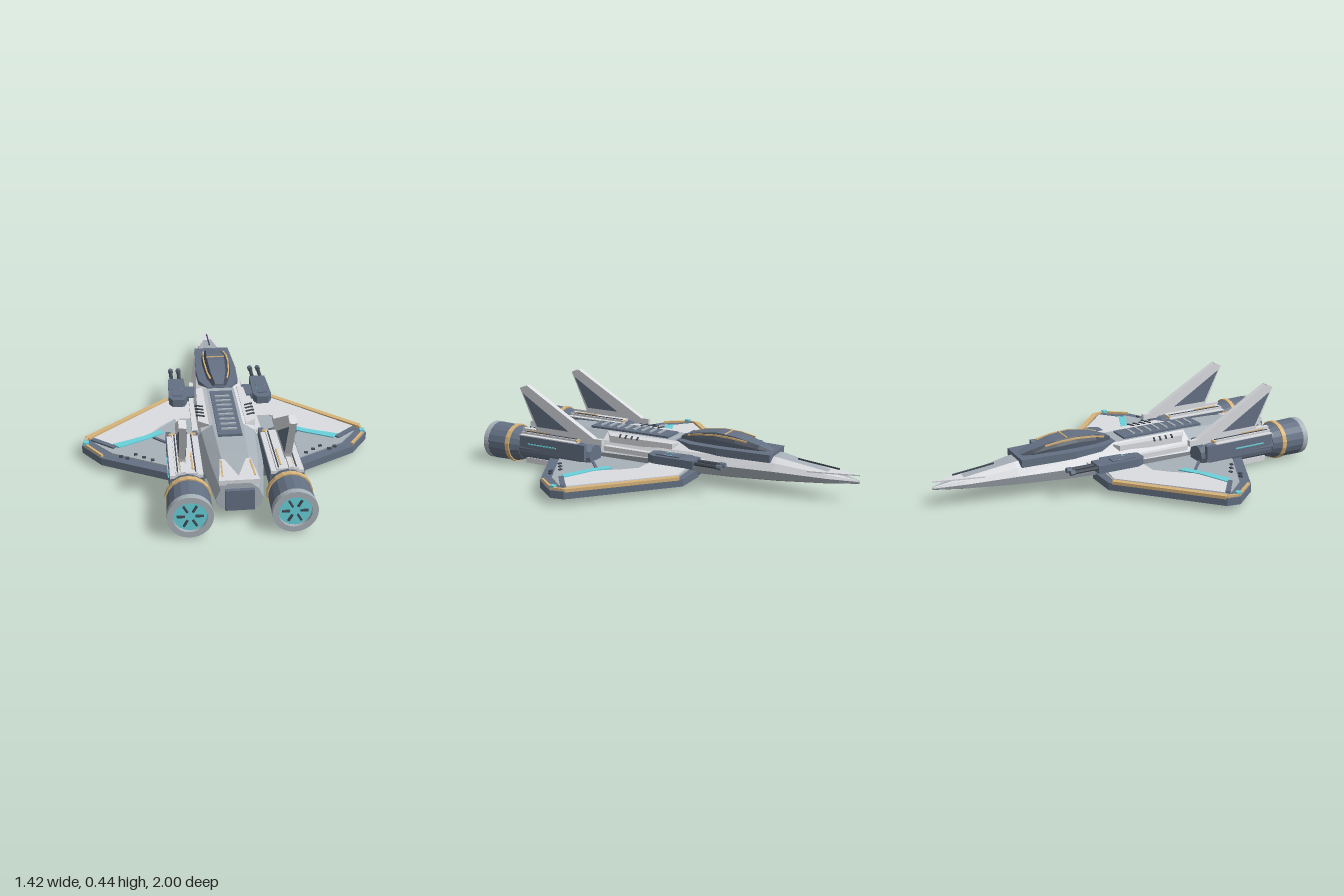
import * as THREE from 'three';

const mat = (name, color) => {
  const m = new THREE.MeshStandardMaterial({ color, flatShading: true });
  m.name = name;
  return m;
};

export function createModel() {
  const light = mat('light grey', 0xdadce0), mid = mat('mid grey', 0xa8b1b9), slate = mat('slate', 0x647184);
  const dark = mat('dark metal', 0x434a55), tan = mat('tan trim', 0xd8b47a), cyan = mat('cyan glow', 0x69d2dd);
  const model = new THREE.Group();
  model.name = 'starfighter';

  const add = (name, geo, material, parent = model) => {
    const m = new THREE.Mesh(geo, material);
    m.name = name;
    parent.add(m);
    return m;
  };
  const box = (name, material, w, h, d, x, y, z, parent) => {
    const m = add(name, new THREE.BoxGeometry(w, h, d), material, parent);
    m.position.set(x, y, z);
    return m;
  };
  const shape = pts => new THREE.Shape(pts.map(p => new THREE.Vector2(p[0], p[1])));
  // Horizontal plate from an x,z outline
  const plate = (name, material, pts, y0, y1, s = 1, parent) => {
    const g = new THREE.ExtrudeGeometry(shape(pts.map(p => [p[0] * s, p[1]])), { depth: y1 - y0, bevelEnabled: false });
    return add(name, g.rotateX(Math.PI / 2).translate(0, y1, 0), material, parent);
  };
  // Upright plate from a z,y outline
  const upright = (name, material, pts, x, t, parent) => {
    const g = new THREE.ExtrudeGeometry(shape(pts), { depth: t, bevelEnabled: false });
    return add(name, g.rotateY(-Math.PI / 2).translate(x + t / 2, 0, 0), material, parent);
  };
  // Cylinder along z, r0 at its nose end and r1 at its rear end
  const tube = (name, material, r0, r1, z0, z1, x, y, parent, sides = 18) => {
    const g = new THREE.CylinderGeometry(r1, r0, z1 - z0, sides);
    return add(name, g.rotateX(Math.PI / 2).translate(x, y, (z0 + z1) / 2), material, parent);
  };
  // Bar between two points
  const bar = (name, material, a, b, w, h, parent) => {
    const p = new THREE.Vector3(...a), q = new THREE.Vector3(...b);
    const m = add(name, new THREE.BoxGeometry(w, h, p.distanceTo(q)), material, parent);
    m.position.copy(p).add(q).multiplyScalar(0.5);
    m.lookAt(q);
    return m;
  };
  // Skin over rings of points ordered counter-clockwise as seen from +z
  const loft = (name, rings, materials, pick) => {
    const v = [], n = rings[0].length, g = new THREE.BufferGeometry();
    const tri = (m, ...ps) => { g.addGroup(v.length / 3, 3, m); ps.forEach(p => v.push(...p)); };
    for (let i = 0; i < rings.length - 1; i++) for (let j = 0; j < n; j++) {
      const k = (j + 1) % n, a = rings[i], b = rings[i + 1];
      tri(pick(j, i), a[j], a[k], b[j]);
      tri(pick(j, i), a[k], b[k], b[j]);
    }
    const first = rings[0], last = rings[rings.length - 1];
    for (let j = 1; j < n - 1; j++) {
      tri(0, last[0], last[j], last[j + 1]);
      tri(0, first[0], first[j + 1], first[j]);
    }
    g.setAttribute('position', new THREE.Float32BufferAttribute(v, 3));
    g.computeVertexNormals();
    return add(name, g, materials);
  };

  // Fuselage: z, half width, waist height, top, bottom
  const hull = [
    [-1, 0.004, 0.108, 0.115, 0.1], [-0.85, 0.05, 0.115, 0.143, 0.083], [-0.6, 0.1, 0.125, 0.185, 0.062],
    [-0.35, 0.132, 0.125, 0.195, 0.047], [0, 0.16, 0.115, 0.2, 0.034], [0.35, 0.162, 0.105, 0.2, 0.03],
    [0.62, 0.14, 0.105, 0.195, 0.032], [0.86, 0.105, 0.105, 0.18, 0.04],
  ].map(([z, w, m, t, b]) => {
    const up = m + (t - m) * 0.62, low = m + (b - m) * 0.7;
    return [[w, m, z], [0.8 * w, up, z], [0.46 * w, t, z], [-0.46 * w, t, z], [-0.8 * w, up, z],
      [-w, m, z], [-0.87 * w, low, z], [-0.4 * w, b, z], [0.4 * w, b, z], [0.87 * w, low, z]];
  });
  loft('fuselage', hull, [mid, light], (j, i) => ([0, 1, 3, 4].includes(j) && i < 5 ? 1 : 0));
  box('tailBlock', slate, 0.13, 0.1, 0.06, 0, 0.105, 0.85);
  plate('nosePlate', light, [[0, -1], [0.035, -0.87], [0.06, -0.76], [0, -0.7], [-0.06, -0.76], [-0.035, -0.87]], 0.137, 0.143);
  bar('noseProbe', dark, [0, 0.157, -0.9], [0, 0.178, -0.69], 0.006, 0.007);

  // Cockpit surround and canopy
  plate('cockpitSurround', slate, [[-0.095, -0.58], [0.095, -0.58], [0.11, -0.3], [0.105, -0.15], [0.065, -0.055],
    [-0.065, -0.055], [-0.105, -0.15], [-0.11, -0.3]], 0.165, 0.204);
  const canopy = [[-0.57, 0.03, 0.2], [-0.5, 0.055, 0.226], [-0.38, 0.072, 0.256], [-0.27, 0.075, 0.265],
    [-0.16, 0.066, 0.25], [-0.065, 0.035, 0.218]].map(([z, w, t]) => {
    const y = 0.19 + (t - 0.19) * 0.6;
    return [[w * 0.8, 0.19, z], [w, y, z], [w * 0.62, t, z], [-w * 0.62, t, z], [-w, y, z], [-w * 0.8, 0.19, z]];
  });
  loft('canopy', canopy, [slate, dark], j => (j === 1 || j === 3 ? 1 : 0));
  for (const s of [-1, 1]) {
    const line = [[0.055, 0.24, -0.44], [0.064, 0.252, -0.36], [0.066, 0.256, -0.27], [0.058, 0.244, -0.16], [0.045, 0.23, -0.11]];
    for (let i = 0; i < 4; i++) {
      const [a, b] = [line[i], line[i + 1]].map(p => [p[0] * s, p[1], p[2]]);
      bar('canopyTrim', tan, a, b, 0.007, 0.008);
    }
  }
  box('canopyCrossTrim', tan, 0.1, 0.006, 0.007, 0, 0.262, -0.32);

  // Dorsal grille and tail deck
  box('dorsalPanel', slate, 0.115, 0.02, 0.47, 0, 0.2, 0.235);
  for (let i = 0; i < 8; i++) box('dorsalSlat', mid, 0.075, 0.008, 0.012, 0, 0.213, 0.07 + i * 0.05);
  plate('tailDeck', light, [[-0.07, 0.67], [-0.05, 0.67], [0, 0.82], [0.05, 0.67], [0.07, 0.67], [0.09, 0.855], [-0.09, 0.855]], 0.17, 0.194);
  for (const s of [-1, 1]) bar('tailTrim', tan, [0.066 * s, 0.195, 0.69], [0.072 * s, 0.195, 0.82], 0.007, 0.006);

  // Belly hatches
  for (const [x, z] of [[0.035, -0.14], [-0.035, -0.02], [0.035, 0.06], [0.03, 0.22]])
    box('bellyHatch', dark, 0.05, 0.014, 0.07, x, 0.034, z);

  for (const s of [-1, 1]) {
    // Wing with panels, trim and lights
    const wing = new THREE.Group();
    wing.name = s > 0 ? 'leftWing' : 'rightWing';
    model.add(wing);
    plate('wingSlab', slate, [[0.1, -0.2], [0.27, -0.2], [0.7, 0.205], [0.712, 0.275], [0.615, 0.405], [0.3, 0.575], [0.1, 0.575]], 0.037, 0.075, s, wing);
    plate('wingSkin', mid, [[0.12, -0.16], [0.26, -0.17], [0.655, 0.215], [0.65, 0.265], [0.565, 0.37], [0.3, 0.515], [0.12, 0.515]], 0.07, 0.081, s, wing);
    plate('frontPanel', light, [[0.14, -0.15], [0.26, -0.165], [0.655, 0.22], [0.56, 0.305], [0.39, 0.225], [0.32, 0.13], [0.25, 0.06], [0.14, 0.06]], 0.075, 0.088, s, wing);
    bar('panelSeam', slate, [0.22 * s, 0.084, 0.37], [0.36 * s, 0.084, 0.24], 0.014, 0.008, wing);
    bar('panelSeam', slate, [0.55 * s, 0.086, 0.325], [0.66 * s, 0.086, 0.235], 0.024, 0.008, wing);
    plate('cyanStripe', cyan, [[0.32, 0.172], [0.312, 0.212], [0.39, 0.262], [0.53, 0.335], [0.56, 0.3], [0.41, 0.235]], 0.086, 0.092, s, wing);
    const edge = [[0.275, -0.18], [0.688, 0.21], [0.698, 0.272], [0.61, 0.393]];
    for (let i = 0; i < 3; i++)
      bar('edgeTrim', tan, [edge[i][0] * s, 0.079, edge[i][1]], [edge[i + 1][0] * s, 0.079, edge[i + 1][1]], i ? 0.012 : 0.028, 0.016, wing);
    box('tipLight', cyan, 0.024, 0.014, 0.024, 0.69 * s, 0.088, 0.272, wing);
    for (const [x, z] of [[0.45, 0.4], [0.49, 0.43], [0.41, 0.43], [0.37, 0.46], [0.52, 0.41]])
      box('rivetPlate', dark, 0.018, 0.008, 0.014, x * s, 0.083, z, wing);
    bar('undersideRod', light, [0.56 * s, 0.03, 0.28], [0.2 * s, 0.03, -0.08], 0.014, 0.014, wing);

    // Shoulder rail, strake and side vents
    plate('strake', light, [[0.13, -0.25], [0.15, -0.25], [0.165, 0], [0.17, 0.32], [0.14, 0.32]], 0.12, 0.145, s);
    plate('shoulderRail', light, [[0.09, -0.08], [0.125, -0.06], [0.14, 0.3], [0.09, 0.34]], 0.16, 0.196, s);
    for (let i = 0; i < 4; i++)
      bar('sideVent', dark, [0.105 * s, 0.197, 0.15 + i * 0.035], [0.145 * s, 0.197, 0.133 + i * 0.035], 0.008, 0.008);

    // Gun pod with twin barrels
    const gun = new THREE.Group();
    gun.name = s > 0 ? 'leftGunPod' : 'rightGunPod';
    model.add(gun);
    plate('podBody', slate, [[0.18, -0.25], [0.265, -0.25], [0.27, -0.03], [0.25, 0.008], [0.19, 0.008], [0.175, -0.03]], 0.13, 0.17, s, gun);
    box('podMount', slate, 0.07, 0.03, 0.12, 0.15 * s, 0.14, -0.12, gun);
    box('podLid', slate, 0.05, 0.008, 0.13, 0.225 * s, 0.172, -0.1, gun);
    for (const x of [0.202, 0.245]) {
      box('podLight', cyan, 0.005, 0.006, 0.06, x * s, 0.173, -0.1, gun);
      tube('barrel', dark, 0.01, 0.01, -0.38, -0.24, x * s, 0.155, gun, 8);
      tube('muzzle', slate, 0.014, 0.014, -0.395, -0.37, x * s, 0.155, gun, 8);
    }

    // Engine
    const engine = new THREE.Group();
    engine.name = s > 0 ? 'leftEngine' : 'rightEngine';
    engine.position.set(0.225 * s, 0.107, 0);
    model.add(engine);
    tube('intake', slate, 0.055, 0.075, 0.335, 0.38, 0, 0, engine, 12);
    tube('nacelle', slate, 0.075, 0.08, 0.38, 0.79, 0, 0, engine, 12);
    box('topFairing', light, 0.1, 0.02, 0.36, 0, 0.073, 0.59, engine);
    box('finSpine', light, 0.022, 0.03, 0.5, 0.015 * s, 0.08, 0.53, engine);
    for (const x of [-1, 1]) {
      box('sideFairing', slate, 0.025, 0.085, 0.41, 0.065 * x, 0.025, 0.56, engine);
      box('shoulderPanel', light, 0.026, 0.016, 0.36, 0.061 * x, 0.064, 0.59, engine);
      box('panelGap', dark, 0.006, 0.004, 0.34, 0.04 * x, 0.084, 0.59, engine);
      box('topTrim', tan, 0.007, 0.007, 0.14, 0.028 * x, 0.085, 0.67, engine);
      box('clamp', tan, 0.03, 0.008, 0.012, 0.05 * x, 0.08, 0.41, engine);
    }
    box('sideLight', cyan, 0.006, 0.006, 0.18, 0.079 * s, 0.028, 0.62, engine);
    box('ventralPlate', light, 0.12, 0.03, 0.36, 0, -0.068, 0.56, engine);
    tube('nozzleCollar', slate, 0.082, 0.097, 0.775, 0.825, 0, 0, engine);
    tube('nozzleBand', tan, 0.103, 0.103, 0.825, 0.85, 0, 0, engine);
    tube('nozzle', slate, 0.097, 0.1, 0.85, 0.968, 0, 0, engine);
    // Hollow lip around the glowing exhaust
    const ring = new THREE.Shape().absarc(0, 0, 0.1, 0, Math.PI * 2);
    ring.holes.push(new THREE.Path().absarc(0, 0, 0.073, 0, Math.PI * 2, true));
    const lip = new THREE.ExtrudeGeometry(ring, { depth: 0.03, bevelEnabled: false, curveSegments: 18 });
    add('nozzleLip', lip.translate(0, 0, 0.965), mid, engine);
    tube('exhaustGlow', cyan, 0.073, 0.073, 0.955, 0.98, 0, 0, engine);
    for (let i = 0; i < 6; i++) {
      const a = i * Math.PI / 3;
      const vane = box('exhaustVane', dark, 0.034, 0.009, 0.01, 0.04 * Math.cos(a), 0.04 * Math.sin(a), 0.983, engine);
      vane.rotation.z = a;
    }

    // Tail fin with inset panels on both faces
    upright('tailFin', light, [[0.32, 0.2], [0.36, 0.17], [0.68, 0.17], [0.695, 0.22], [0.785, 0.42], [0.74, 0.44]], 0.24 * s, 0.03);
    upright('finPanel', slate, [[0.48, 0.222], [0.68, 0.222], [0.765, 0.395]], 0.24 * s, 0.036);
    bar('finTipTrim', light, [0.24 * s, 0.436, 0.745], [0.24 * s, 0.419, 0.783], 0.034, 0.008);
  }
  return model;
}
